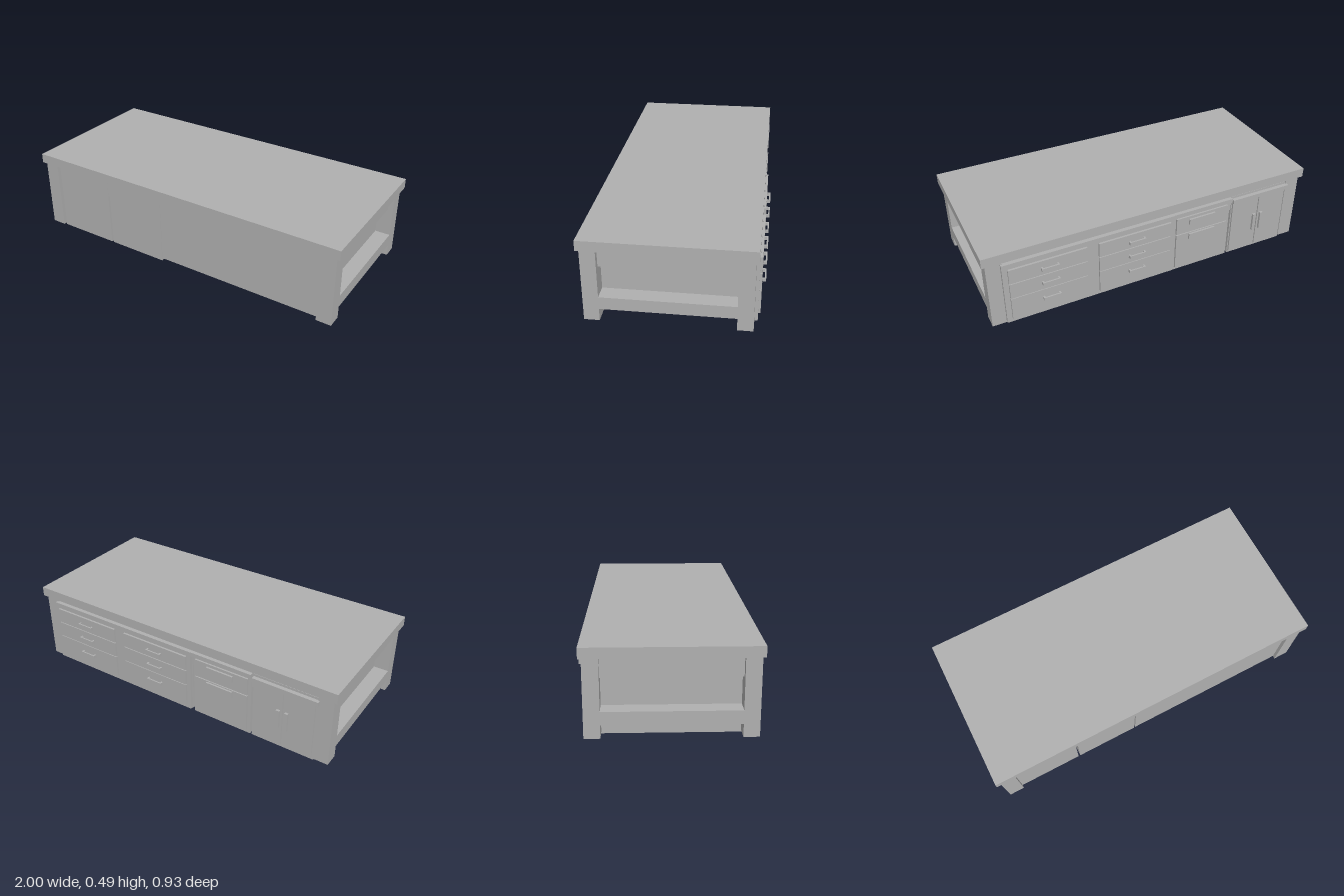
import * as THREE from 'three';

export function createModel() {
  const model = new THREE.Group();
  model.name = 'workbench';
  const grey = new THREE.MeshStandardMaterial({ color: 0xb0b0b0 });
  grey.name = 'plain grey';

  // Box given by its extents along each axis
  function box(name, x0, x1, y0, y1, z0, z1, parent = model) {
    const mesh = new THREE.Mesh(new THREE.BoxGeometry(x1 - x0, y1 - y0, z1 - z0), grey);
    mesh.position.set((x0 + x1) / 2, (y0 + y1) / 2, (z0 + z1) / 2);
    mesh.name = name;
    parent.add(mesh);
    return mesh;
  }

  function group(name) {
    const g = new THREE.Group();
    g.name = name;
    model.add(g);
    return g;
  }

  // Worktop
  box('worktop', -1, 1, 0.43, 0.487, -0.43, 0.465);

  // Legs and end rails, mirrored left and right
  const frame = group('frame');
  for (const s of [-1, 1]) {
    const sided = (name, a, b, ...rest) =>
      box(name, Math.min(s * a, s * b), Math.max(s * a, s * b), ...rest, frame);
    sided('frontLeg', 0.892, 0.98, 0.012, 0.425, 0.37, 0.452);
    sided('backLeg', 0.892, 0.98, 0.012, 0.425, -0.415, -0.332);
    sided('upperEndRail', 0.892, 0.95, 0.318, 0.425, -0.332, 0.37);
    sided('lowerEndRail', 0.892, 0.98, 0.082, 0.153, -0.332, 0.37);
  }
  // Long rails under the worktop
  box('frontRail', -0.892, 0.892, 0.318, 0.425, 0.37, 0.43, frame);
  box('backRail', -0.892, 0.892, 0.318, 0.425, -0.405, -0.332, frame);

  // Large drawer cabinet: two bays of three drawers
  const large = group('largeDrawerCabinet');
  box('carcass', -0.12, 0.89, 0.02, 0.412, -0.414, 0.434, large);
  box('faceFrame', -0.115, 0.9, 0.02, 0.412, -0.432, -0.414, large);
  const rows = [[0.29, 0.38, 0.333], [0.19, 0.285, 0.237], [0.046, 0.186, 0.132]];
  for (const [x0, x1] of [[-0.09, 0.355], [0.425, 0.87]]) {
    for (const [y0, y1, hy] of rows) {
      box('drawerFront', x0, x1, y0, y1, -0.444, -0.432, large);
      // Bar handle on two short posts
      const c = (x0 + x1) / 2 - 0.005;
      box('handleBar', c - 0.05, c + 0.05, hy - 0.009, hy + 0.009, -0.464, -0.456, large);
      for (const s of [-1, 1]) {
        box('handlePost', c + s * 0.045 - 0.005, c + s * 0.045 + 0.005,
          hy - 0.009, hy + 0.009, -0.456, -0.444, large);
      }
    }
  }

  // Cabinet with two deep drawers
  const small = group('smallDrawerCabinet');
  box('carcass', -0.5, -0.125, 0, 0.412, -0.41, 0.431, small);
  box('topStrip', -0.505, -0.115, 0.385, 0.412, -0.43, -0.41, small);
  for (const [y0, y1, hy] of [[0.262, 0.37, 0.335], [0.02, 0.256, 0.232]]) {
    box('drawerFront', -0.48, -0.14, y0, y1, -0.422, -0.41, small);
    box('drawerPull', -0.39, -0.22, hy - 0.018, hy + 0.018, -0.433, -0.422, small);
  }

  // Cupboard with a pair of doors
  const cupboard = group('cupboard');
  box('carcass', -0.892, -0.512, 0, 0.412, -0.41, 0.431, cupboard);
  box('doorHead', -0.9, -0.512, 0.372, 0.398, -0.433, -0.41, cupboard);
  for (const s of [-1, 1]) {
    const a = -0.7 + s * 0.003, b = -0.7 + s * 0.182;
    box('door', Math.min(a, b), Math.max(a, b), 0.015, 0.37, -0.42, -0.41, cupboard);
    const h = -0.7 + s * 0.025;
    box('doorHandle', h - 0.01, h + 0.01, 0.135, 0.25, -0.434, -0.42, cupboard);
  }

  return model;
}
